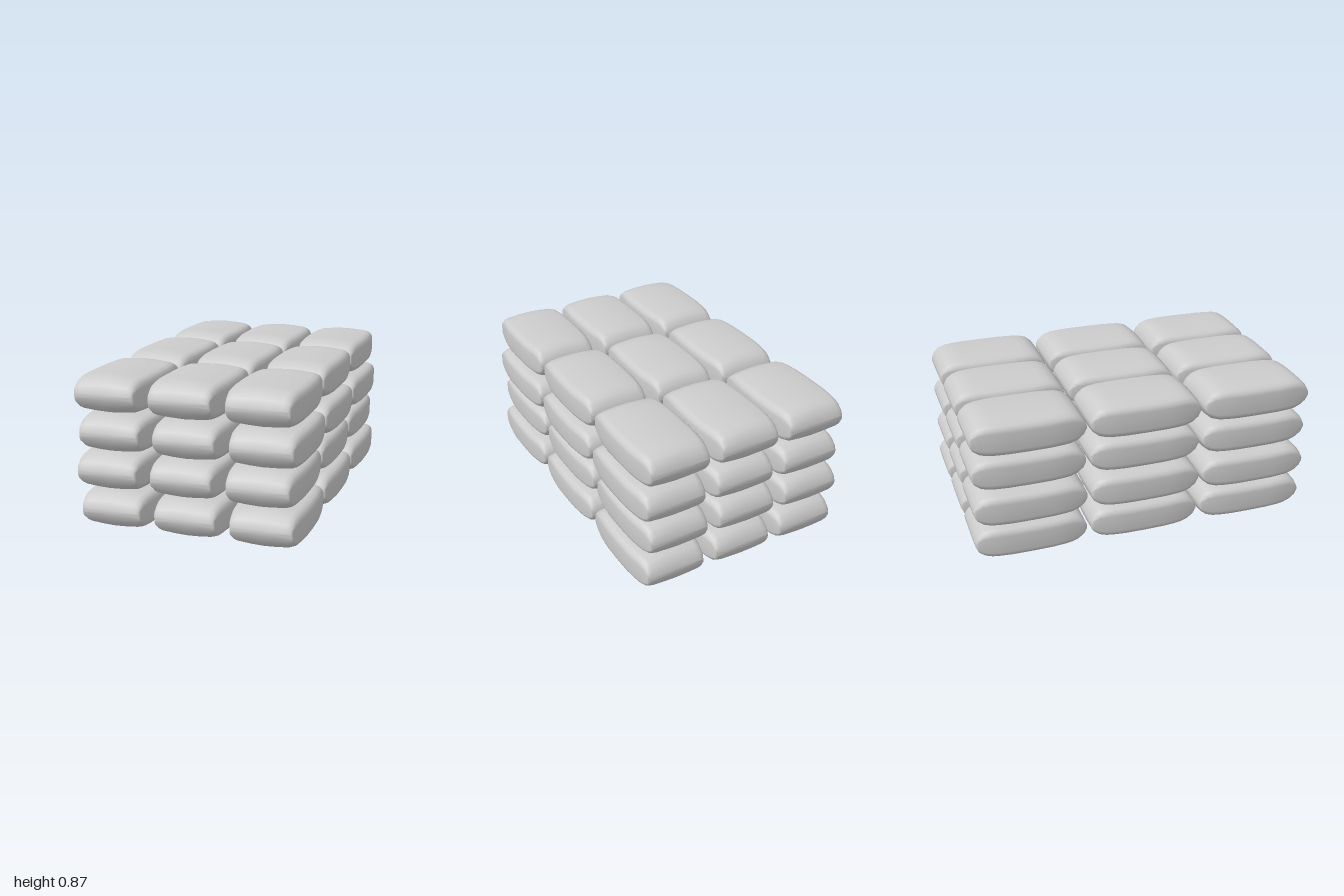
import * as THREE from 'three';

// Quarter outline of a sack's cross-section, as fractions of half width and half height
const QUARTER = [[1, 0], [1, 0.48], [0.97, 0.66], [0.9, 0.8], [0.78, 0.89], [0.4, 0.965], [0, 1]];
// Stations from the middle to one end: z, half width, half height
const STATIONS = [
  [0, 0.205, 0.107], [0.12, 0.203, 0.107], [0.19, 0.196, 0.106], [0.235, 0.19, 0.103],
  [0.275, 0.183, 0.09], [0.308, 0.177, 0.06], [0.324, 0.17, 0.018],
];

function sackGeometry() {
  // Mirror the quarter into a full counter-clockwise ring
  const half = [...QUARTER, ...QUARTER.slice(0, -1).reverse().map(([x, y]) => [-x, y])];
  const ring = [...half, ...half.slice(1, -1).reverse().map(([x, y]) => [x, -y])];
  const stations = [...STATIONS.slice(1).reverse().map(([z, w, h]) => [-z, w, h]), ...STATIONS];
  const n = ring.length;
  const positions = [];
  const index = [];
  for (const [z, w, h] of stations) {
    for (const [x, y] of ring) positions.push(x * w, y * h, z);
  }
  const last = (stations.length - 1) * n;
  const back = last + n;
  const front = back + 1;
  positions.push(0, 0, stations[0][0], 0, 0, stations.at(-1)[0]);

  for (let j = 0; j < n; j++) {
    const k = (j + 1) % n;
    for (let r = 0; r < last; r += n) {
      index.push(r + j, r + k, r + n + k, r + j, r + n + k, r + n + j);
    }
    // End closures
    index.push(back, k, j, front, last + j, last + k);
  }
  const geometry = new THREE.BufferGeometry();
  geometry.setAttribute('position', new THREE.Float32BufferAttribute(positions, 3));
  geometry.setIndex(index);
  geometry.computeVertexNormals();
  return geometry;
}

export function createModel() {
  const model = new THREE.Group();
  model.name = 'sackStack';
  const geometry = sackGeometry();
  const material = new THREE.MeshStandardMaterial({ color: 0xcccccc });

  // Four layers of 3 x 3 sacks, each layer shifted slightly sideways
  for (let level = 0; level < 4; level++) {
    const layer = new THREE.Group();
    layer.name = `layer${level + 1}`;
    layer.position.set(level % 2 ? -0.01 : 0.01, 0.107 + level * 0.219, 0);
    for (let row = -1; row <= 1; row++) {
      for (let column = -1; column <= 1; column++) {
        const sack = new THREE.Mesh(geometry, material);
        sack.name = 'sack';
        sack.position.set(column * 0.435, 0, row * 0.676);
        layer.add(sack);
      }
    }
    model.add(layer);
  }
  return model;
}
